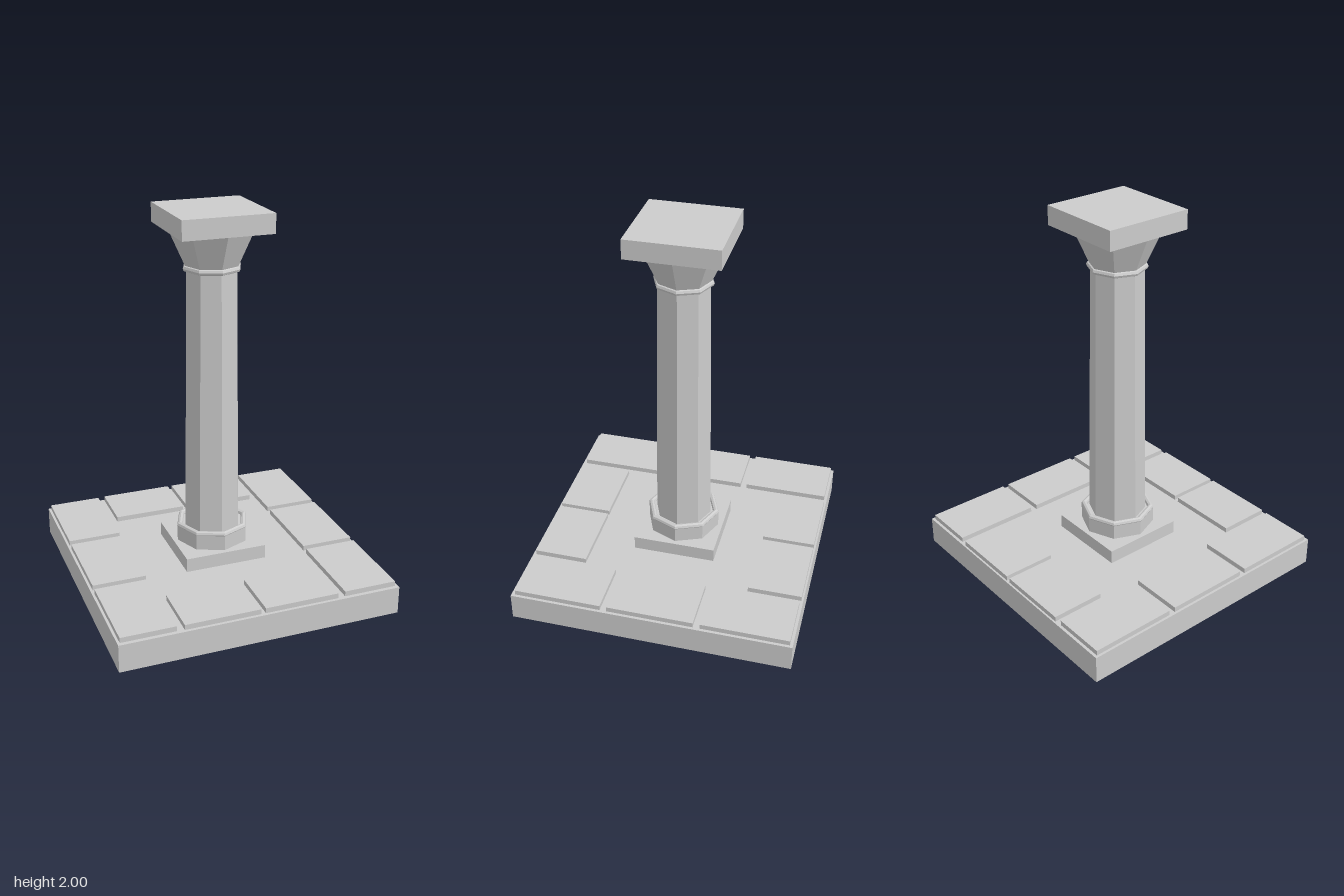
import * as THREE from 'three';

const material = new THREE.MeshStandardMaterial({ color: 0xcccccc, flatShading: true });

export function createModel() {
  const root = new THREE.Group();
  root.name = 'columnOnPavedBase';

  const add = (name, geometry, x, y, z) => {
    const mesh = new THREE.Mesh(geometry, material);
    mesh.name = name;
    mesh.position.set(x, y, z);
    root.add(mesh);
    return mesh;
  };
  // Block given by its ranges on each axis
  const block = (name, [x0, x1], [y0, y1], [z0, z1]) =>
    add(name, new THREE.BoxGeometry(x1 - x0, y1 - y0, z1 - z0),
      (x0 + x1) / 2, (y0 + y1) / 2, (z0 + z1) / 2);
  // Eight-sided tapering section with corners on the axes
  const octagon = (name, rBottom, rTop, y0, y1) =>
    add(name, new THREE.CylinderGeometry(rTop, rBottom, y1 - y0, 8), 0, (y0 + y1) / 2, 0);
  // Eight-sided rounded moulding
  const ring = (name, radius, tube, y) =>
    add(name, new THREE.TorusGeometry(radius, tube, 8, 8).rotateX(Math.PI / 2), 0, y, 0);

  // Slab
  block('baseSlab', [-0.74, 0.74], [0, 0.148], [-0.74, 0.74]);

  // Paving stones: three along each side, two along front and back
  const tileY = [0.14, 0.175];
  for (const xs of [[-0.727, -0.445], [0.443, 0.725]]) {
    for (const zs of [[-0.725, -0.267], [-0.23, 0.225], [0.26, 0.72]]) {
      block('sidePavingStone', xs, tileY, zs);
    }
  }
  for (const zs of [[-0.73, -0.447], [0.441, 0.724]]) {
    for (const xs of [[-0.407, -0.013], [0.011, 0.404]]) {
      block('endPavingStone', xs, tileY, zs);
    }
  }

  // Column foot
  block('plinth', [-0.22, 0.22], [0.14, 0.222], [-0.22, 0.22]);
  octagon('footDrum', 0.196, 0.196, 0.222, 0.305);
  ring('footRing', 0.182, 0.016, 0.308);

  // Shaft and capital
  octagon('shaft', 0.152, 0.134, 0.3, 1.73);
  ring('neckRing', 0.137, 0.016, 1.708);
  octagon('capital', 0.138, 0.222, 1.715, 1.9);
  block('abacus', [-0.236, 0.236], [1.9, 2], [-0.236, 0.236]);

  return root;
}
